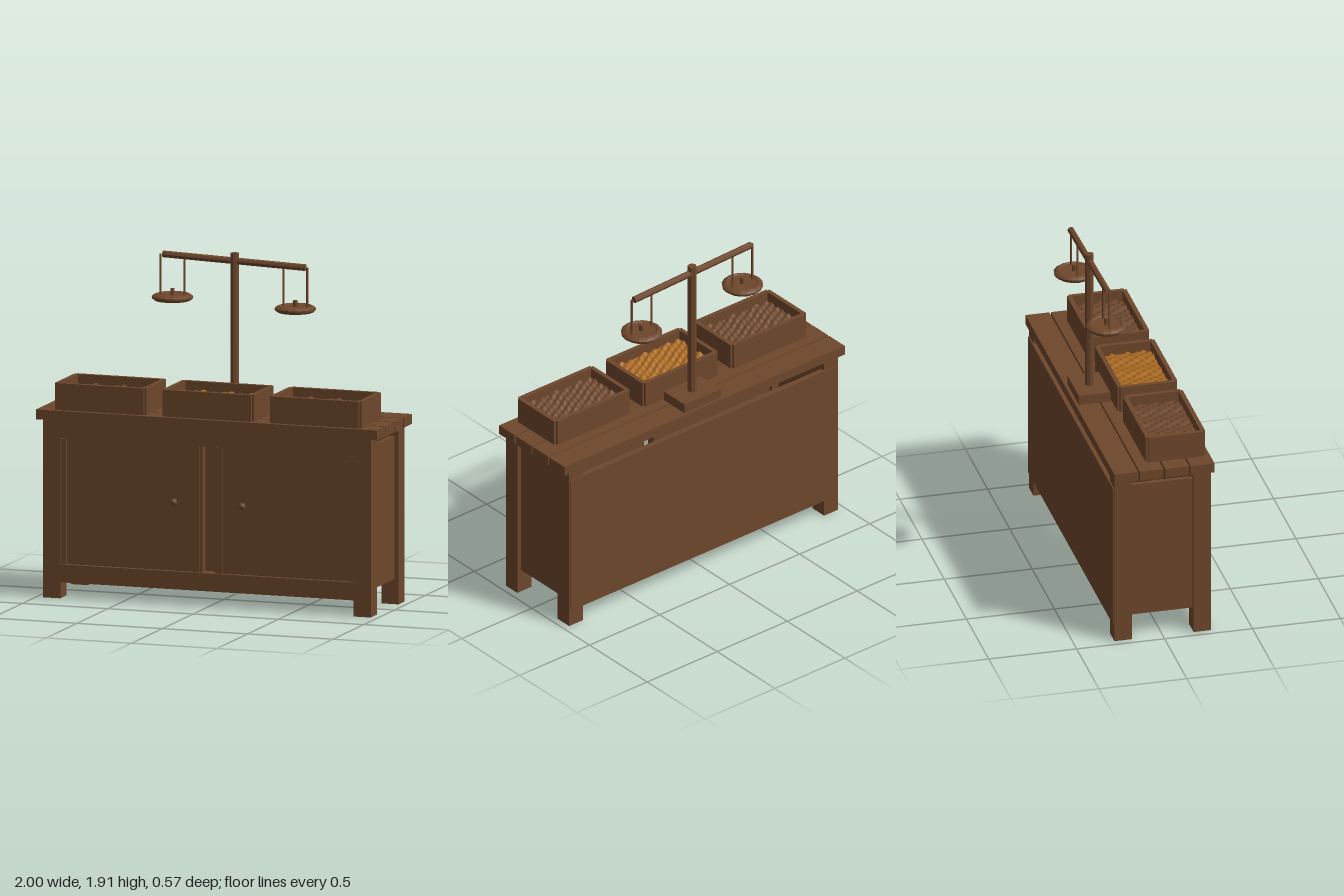
import * as THREE from 'three';

export function createModel() {
  const root = new THREE.Group();
  const wood = new THREE.MeshStandardMaterial({ color: 0x6e472c });
  wood.name = 'brown wood';
  const gold = new THREE.MeshStandardMaterial({ color: 0xa8681f });
  gold.name = 'golden grain';

  function add(name, geo, parent = root, mat = wood) {
    const m = new THREE.Mesh(geo, mat);
    m.name = name;
    parent.add(m);
    return m;
  }
  // Box given by its limits on each axis
  function box(name, x0, x1, y0, y1, z0, z1, parent = root) {
    const m = add(name, new THREE.BoxGeometry(x1 - x0, y1 - y0, z1 - z0), parent);
    m.position.set((x0 + x1) / 2, (y0 + y1) / 2, (z0 + z1) / 2);
    return m;
  }
  // Faceted rod between two points
  function rod(name, a, b, r, sides, parent = root) {
    const geo = new THREE.CylinderGeometry(r, r, a.distanceTo(b), sides).toNonIndexed();
    geo.computeVertexNormals();
    const m = add(name, geo, parent);
    m.position.copy(a).add(b).multiplyScalar(0.5);
    m.quaternion.setFromUnitVectors(new THREE.Vector3(0, 1, 0), b.clone().sub(a).normalize());
    return m;
  }
  const V = (x, y, z) => new THREE.Vector3(x, y, z);

  // Counter top of four planks
  for (let i = 0; i < 4; i++) {
    const z = -0.285 + i * 0.1445;
    box('topPlank', -1, 1, 0.995, 1.05, z, z + 0.1355);
  }

  // Cabinet frame
  for (const s of [-1, 1]) {
    const x = s * 0.91;
    box('frontLeg', x - 0.05, x + 0.05, 0, 0.995, 0.175, 0.275);
    box('backLeg', x - 0.05, x + 0.05, 0, 0.995, -0.275, -0.175);
    const p = s * 0.92;
    box('sidePanel', p - 0.015, p + 0.015, 0.14, 0.94, -0.175, 0.175);
  }
  box('topRail', -0.86, 0.86, 0.9, 0.995, 0.195, 0.275);
  box('bottomRail', -0.86, 0.86, 0.09, 0.19, 0.195, 0.275);
  box('backPanel', -0.955, 0.955, 0.1, 0.94, -0.282, -0.25);

  // Pair of doors with upright strips and knobs
  for (const s of [-1, 1]) {
    const door = new THREE.Group();
    door.name = s > 0 ? 'leftDoor' : 'rightDoor';
    root.add(door);
    const span = (name, a, b, y0, y1, z0, z1) =>
      box(name, Math.min(s * a, s * b), Math.max(s * a, s * b), y0, y1, z0, z1, door);
    span('doorPanel', 0.035, 0.86, 0.19, 0.9, 0.2, 0.25);
    span('innerStrip', 0.05, 0.083, 0.19, 0.897, 0.25, 0.262);
    span('outerStrip', 0.83, 0.86, 0.19, 0.893, 0.25, 0.262);
    const knob = add('doorKnob', new THREE.SphereGeometry(0.02, 14, 10), door);
    knob.position.set(s * 0.2, 0.575, 0.262);
  }

  // Three open crates with a rippled filling
  for (const i of [-1, 0, 1]) {
    const crate = new THREE.Group();
    crate.name = 'crate';
    crate.position.set(i * 0.63 - 0.002, 1.05, 0.09);
    root.add(crate);
    for (const s of [-1, 1]) {
      const x = s * 0.256, z = s * 0.157;
      box('crateEnd', x - 0.0125, x + 0.0125, 0, 0.15, -0.157, 0.157, crate);
      box('crateSide', -0.255, 0.255, 0, 0.15, z - 0.0125, z + 0.0125, crate);
    }
    box('crateFloor', -0.25, 0.25, 0, 0.015, -0.15, 0.15, crate);
    const geo = new THREE.PlaneGeometry(0.49, 0.292, 48, 30).rotateX(-Math.PI / 2);
    const p = geo.attributes.position;
    for (let k = 0; k < p.count; k++) {
      const x = p.getX(k), z = p.getZ(k);
      p.setY(k, 0.095 + 0.01 * Math.sin(x * 95 + z * 30) * Math.cos(z * 105 - x * 18)
        + 0.004 * Math.sin(x * 41 + 1));
    }
    geo.computeVertexNormals();
    add('filling', geo, crate, i === 0 ? gold : wood);
  }

  // Balance scale: foot, post and tilted beam
  const zs = -0.175;
  box('scaleFoot', -0.13, 0.13, 1.05, 1.105, -0.267, -0.088);
  rod('scalePost', V(0, 1.1, zs), V(0, 1.91, zs), 0.025, 8);
  rod('scaleBeam', V(-0.42, 1.88, zs), V(0.415, 1.852, zs), 0.019, 8);

  // Hanging pans
  const profile = [[0, 0], [0.1, 0], [0.113, 0.01], [0.115, 0.022], [0.104, 0.03],
    [0.09, 0.036], [0.08, 0.03], [0, 0.028]].map(([r, y]) => new THREE.Vector2(r, y));
  for (const [x, y] of [[-0.363, 1.626], [0.357, 1.602]]) {
    const pan = new THREE.Group();
    pan.name = 'scalePan';
    pan.position.set(x, y, zs + 0.005);
    root.add(pan);
    const dish = new THREE.LatheGeometry(profile, 16).toNonIndexed();
    dish.computeVertexNormals();
    add('dish', dish, pan);
    rod('panKnob', V(0, 0.025, 0), V(0, 0.065, 0), 0.013, 8, pan);
    for (const s of [-1, 1]) {
      const hx = s * 0.07;
      rod('hanger', V(hx, 0.025, 0), V(hx, 1.867 - (x + hx) * 0.0335 - y, 0), 0.006, 6, pan);
    }
  }
  return root;
}
